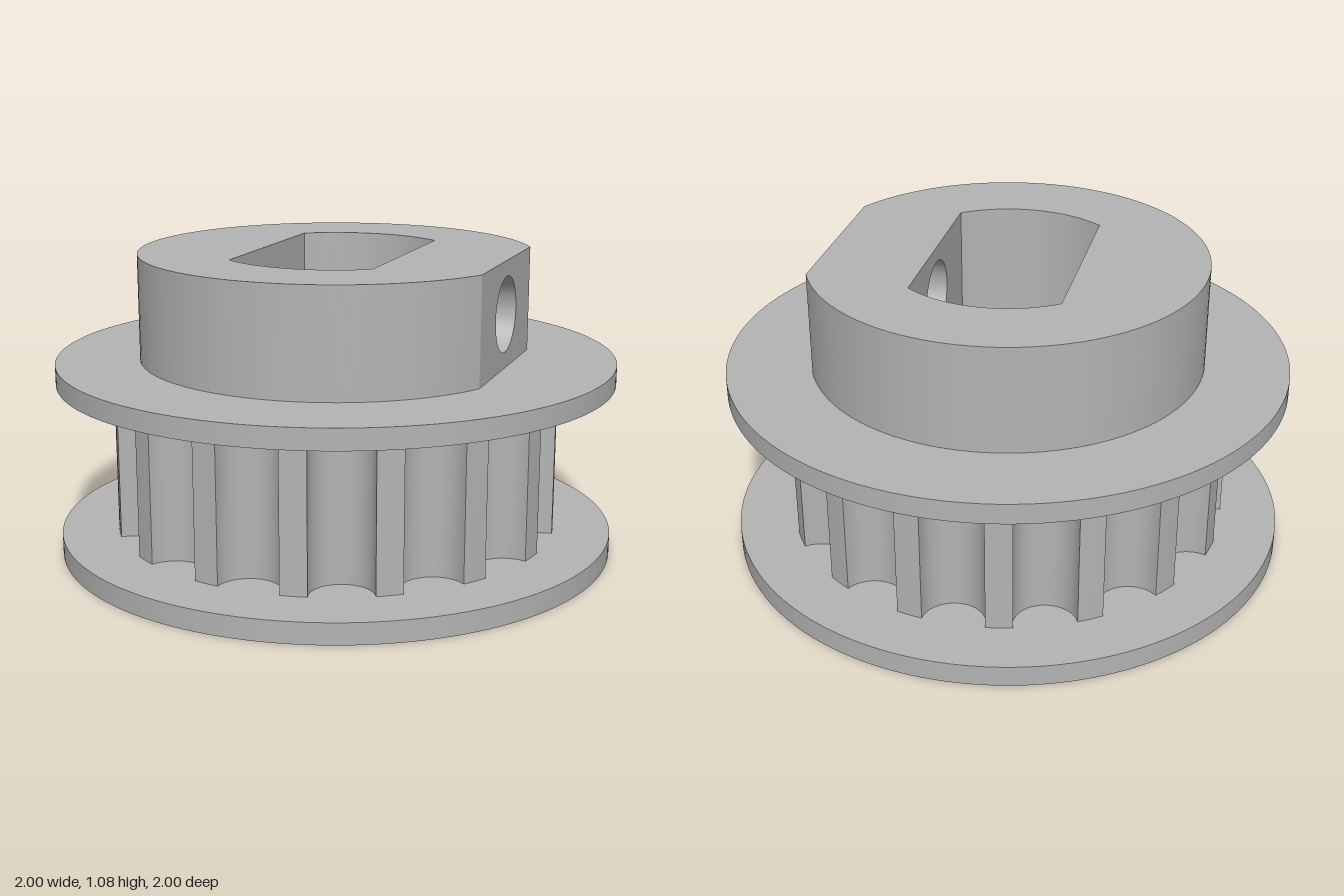
import * as THREE from 'three';
import { toCreasedNormals } from 'three/addons/utils/BufferGeometryUtils.js';

const FLANGE_R = 1, FLANGE_T = 0.075, GEAR_TOP = 0.625, HUB_BASE = 0.697, HUB_TOP = 1.075;
const HUB_R = 0.702, HUB_FLAT = 0.627, BORE_R = 0.427, BORE_FLAT = 0.26;
const TEETH = 16, TOOTH_R = 0.797, GROOVE_R = 0.11, SCREW_R = 0.133, SCREW_Y = 0.887;

// Points along an arc, counter-clockwise from angle a to b
function arc(r, a, b, n, cx = 0, cy = 0) {
  return Array.from({ length: n + 1 }, (_, i) => {
    const t = a + (b - a) * i / n;
    return new THREE.Vector2(cx + r * Math.cos(t), cy + r * Math.sin(t));
  });
}
const circle = (r, n, cx, cy) => arc(r, 0, Math.PI * 2, n, cx, cy);

// Strip swept along z; faces outward for a counter-clockwise path
function strip(pts, z0, z1) {
  const pos = [];
  for (let i = 0; i < pts.length - 1; i++) {
    const p = pts[i], q = pts[i + 1];
    pos.push(p.x, p.y, z0, q.x, q.y, z0, q.x, q.y, z1, p.x, p.y, z0, q.x, q.y, z1, p.x, p.y, z1);
  }
  const g = new THREE.BufferGeometry();
  g.setAttribute('position', new THREE.Float32BufferAttribute(pos, 3));
  return toCreasedNormals(g, Math.PI / 6);
}
const wall = (pts, y0, y1) => strip(pts, y0, y1).rotateX(-Math.PI / 2);

// Flat face with a hole
function face(outline, hole) {
  const s = new THREE.Shape(outline);
  if (hole) s.holes.push(new THREE.Path(hole));
  return new THREE.ShapeGeometry(s);
}
const plate = (outline, hole, y, up) =>
  face(outline, hole).rotateX(up ? -Math.PI / 2 : Math.PI / 2).translate(0, y, 0);

// Upright rectangle facing +x or -x
function sidePanel(x, halfWidth, y0, y1, dir, hole) {
  const v = (a, b) => new THREE.Vector2(a, b);
  const rect = [v(-halfWidth, y0), v(halfWidth, y0), v(halfWidth, y1), v(-halfWidth, y1)];
  return face(rect, hole).rotateY(dir * Math.PI / 2).translate(x, 0, 0);
}

// Round-bottomed grooves between narrow teeth
function gearOutline() {
  const pts = [], half = Math.asin(GROOVE_R / TOOTH_R), pitch = Math.PI * 2 / TEETH;
  const chord = TOOTH_R * Math.cos(half);
  for (let k = 0; k < TEETH; k++) {
    const a = k * pitch, c = Math.cos(a), s = Math.sin(a);
    for (let i = 0; i <= 14; i++) {
      const t = Math.PI * i / 14;
      const rad = chord - GROOVE_R * Math.sin(t), tan = -GROOVE_R * Math.cos(t);
      pts.push(new THREE.Vector2(rad * c - tan * s, rad * s + tan * c));
    }
    pts.push(...arc(TOOTH_R, a + pitch / 2, a + pitch / 2, 1).slice(1));
  }
  pts.push(pts[0].clone());
  return pts;
}

export function createModel() {
  const model = new THREE.Group();
  const metal = new THREE.MeshStandardMaterial({ color: 0xb4b4b4 });
  metal.name = 'grey metal';
  const part = (name, pieces) => {
    const group = new THREE.Group();
    group.name = name;
    for (const [label, geometry] of Object.entries(pieces)) {
      const mesh = new THREE.Mesh(geometry, metal);
      mesh.name = label;
      group.add(mesh);
    }
    model.add(group);
  };

  const disc = circle(FLANGE_R, 128), gear = gearOutline();
  const hubA = Math.acos(HUB_FLAT / HUB_R), boreA = Math.acos(BORE_FLAT / BORE_R);
  const hubArc = arc(HUB_R, hubA, Math.PI * 2 - hubA, 96);
  const backArc = arc(BORE_R, boreA, Math.PI - boreA, 24);
  const frontArc = arc(BORE_R, Math.PI + boreA, Math.PI * 2 - boreA, 24);
  const bore = [...backArc, ...frontArc];
  const screw = circle(SCREW_R, 48, 0, SCREW_Y);
  const boreHalf = BORE_R * Math.sin(boreA);

  part('lowerFlange', {
    lowerFlangeUnderside: plate(disc, bore, 0, false),
    lowerFlangeRim: wall(disc, 0, FLANGE_T),
    lowerFlangeTop: plate(disc, gear, FLANGE_T, true),
  });
  part('toothedWheel', { teeth: wall(gear, FLANGE_T, GEAR_TOP) });
  part('upperFlange', {
    upperFlangeUnderside: plate(disc, gear, GEAR_TOP, false),
    upperFlangeRim: wall(disc, GEAR_TOP, HUB_BASE),
    upperFlangeTop: plate(disc, hubArc, HUB_BASE, true),
  });
  part('hub', {
    hubRoundWall: wall(hubArc, HUB_BASE, HUB_TOP),
    hubFlat: sidePanel(HUB_FLAT, HUB_R * Math.sin(hubA), HUB_BASE, HUB_TOP, 1, screw),
    hubTop: plate(hubArc, bore, HUB_TOP, true),
  });
  // Double-flat shaft opening through the full height
  part('shaftBore', {
    boreBackArc: wall([...backArc].reverse(), 0, HUB_TOP),
    boreFrontArc: wall([...frontArc].reverse(), 0, HUB_TOP),
    boreRightFlat: sidePanel(-BORE_FLAT, boreHalf, 0, HUB_TOP, 1),
    boreLeftFlat: sidePanel(BORE_FLAT, boreHalf, 0, HUB_TOP, -1, screw),
  });
  part('setScrewHole', {
    screwHoleWall: strip([...screw].reverse(), BORE_FLAT, HUB_FLAT).rotateY(Math.PI / 2),
  });
  return model;
}
